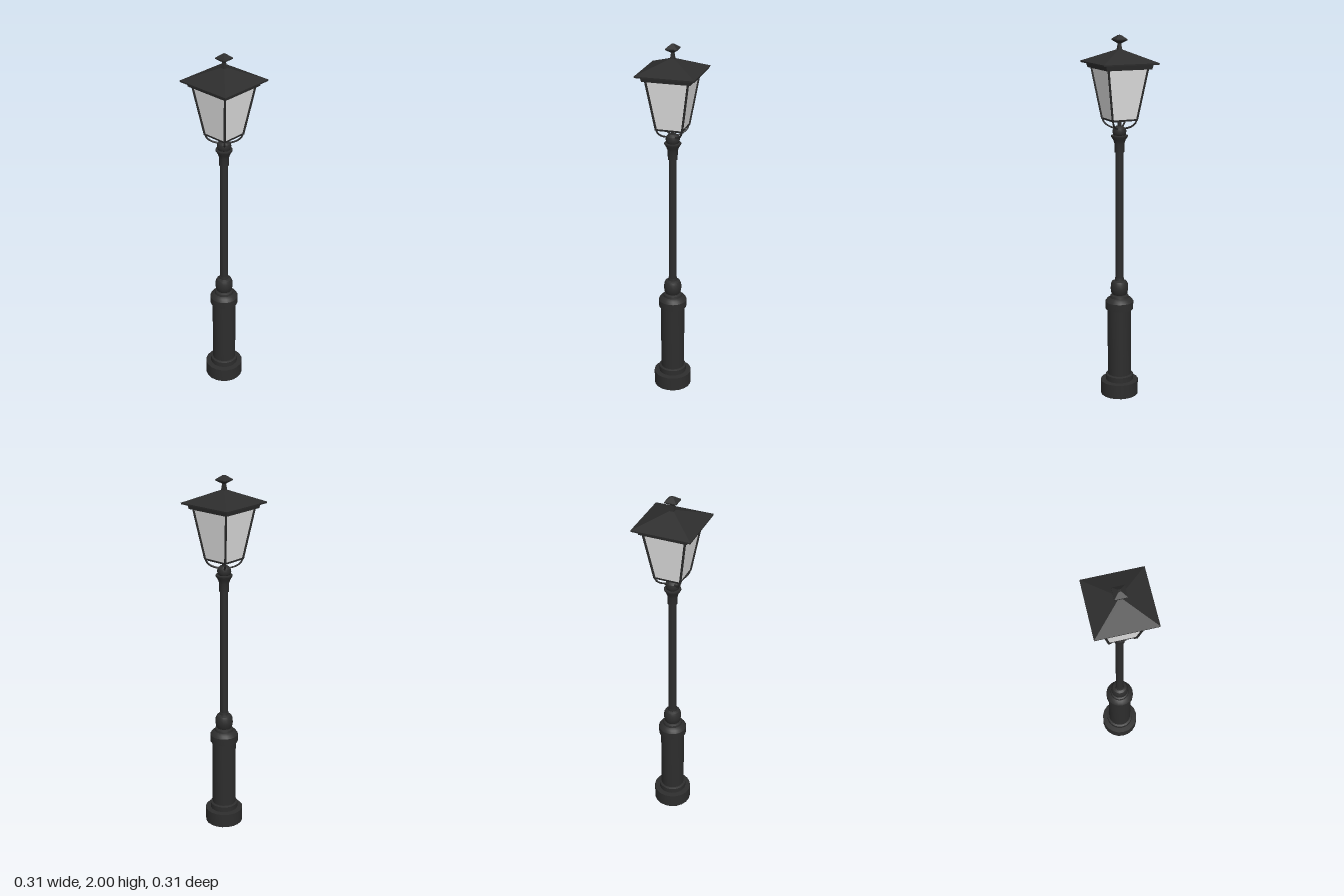
import * as THREE from 'three';
import { toCreasedNormals } from 'three/addons/utils/BufferGeometryUtils.js';

export function createModel() {
  const model = new THREE.Group();
  model.name = 'streetLamp';
  const iron = new THREE.MeshStandardMaterial({ color: 0x2d2d2d });
  iron.name = 'blackIron';
  const glass = new THREE.MeshStandardMaterial({ color: 0xe8e8e8 });
  glass.name = 'frostedGlass';

  const add = (name, geometry, material = iron) => {
    const mesh = new THREE.Mesh(geometry, material);
    mesh.name = name;
    model.add(mesh);
    return mesh;
  };

  // Round turned part from [radius, height] pairs
  const turned = (name, points) => add(name, toCreasedNormals(
    new THREE.LatheGeometry(points.map(([r, y]) => new THREE.Vector2(r, y)), 20), 0.6));

  // Square tapered block between two heights, sized by half widths
  const square = (name, bottom, top, y0, y1, material) => {
    const g = new THREE.CylinderGeometry(top * Math.SQRT2, bottom * Math.SQRT2, y1 - y0, 4);
    g.rotateY(Math.PI / 4);
    g.translate(0, (y0 + y1) / 2, 0);
    return add(name, toCreasedNormals(g, 0.3), material);
  };

  // Post, from the ground up
  turned('base', [[0, 0], [0.105, 0], [0.105, 0.08], [0.077, 0.083],
    [0.077, 0.113], [0.066, 0.118], [0, 0.118]]);
  turned('pedestal', [[0.066, 0.11], [0.066, 0.5]]);
  turned('pedestalCollar', [[0.06, 0.5], [0.077, 0.503], [0.078, 0.545], [0.068, 0.56],
    [0.053, 0.568], [0.05, 0.58], [0.035, 0.588], [0, 0.588]]);
  turned('bulb', [[0.035, 0.58], [0.045, 0.595], [0.049, 0.62], [0.047, 0.645],
    [0.04, 0.66], [0.026, 0.667], [0.024, 0.68], [0, 0.68]]);
  turned('shaft', [[0.022, 0.66], [0.021, 1.4]]);
  turned('capital', [[0.02, 1.38], [0.026, 1.382], [0.027, 1.43], [0.034, 1.45],
    [0.045, 1.468], [0.045, 1.474], [0.02, 1.476]]);
  turned('ball', [[0.02, 1.465], [0.034, 1.478], [0.038, 1.495], [0.034, 1.511],
    [0.02, 1.523], [0, 1.525]]);
  turned('stem', [[0.01, 1.51], [0.01, 1.565]]);

  // Lantern body
  square('lanternFloor', 0.068, 0.07, 1.555, 1.565);
  square('glassPanes', 0.068, 0.11, 1.565, 1.832, glass);

  // Corner bars with curved arms that meet the ball
  for (let i = 0; i < 4; i++) {
    const sx = i % 2 ? 1 : -1, sz = i < 2 ? 1 : -1;
    const at = (d, y) => new THREE.Vector3(sx * d, y, sz * d);
    add('cornerBar', new THREE.TubeGeometry(
      new THREE.LineCurve3(at(0.113, 1.835), at(0.07, 1.56)), 1, 0.006, 6));
    add('supportArm', new THREE.TubeGeometry(new THREE.CatmullRomCurve3(
      [at(0.07, 1.565), at(0.062, 1.54), at(0.045, 1.522), at(0.018, 1.51)]), 10, 0.005, 6));
  }

  // Roof and finial
  square('cornice', 0.128, 0.134, 1.828, 1.853);
  square('eave', 0.156, 0.157, 1.853, 1.861);
  square('roof', 0.157, 0.012, 1.861, 1.925);
  square('finialNeck', 0.012, 0.006, 1.92, 1.965);
  square('finialLower', 0.008, 0.032, 1.957, 1.974);
  square('finialBand', 0.032, 0.032, 1.974, 1.979);
  square('finialUpper', 0.032, 0.006, 1.979, 2.0);
  return model;
}
